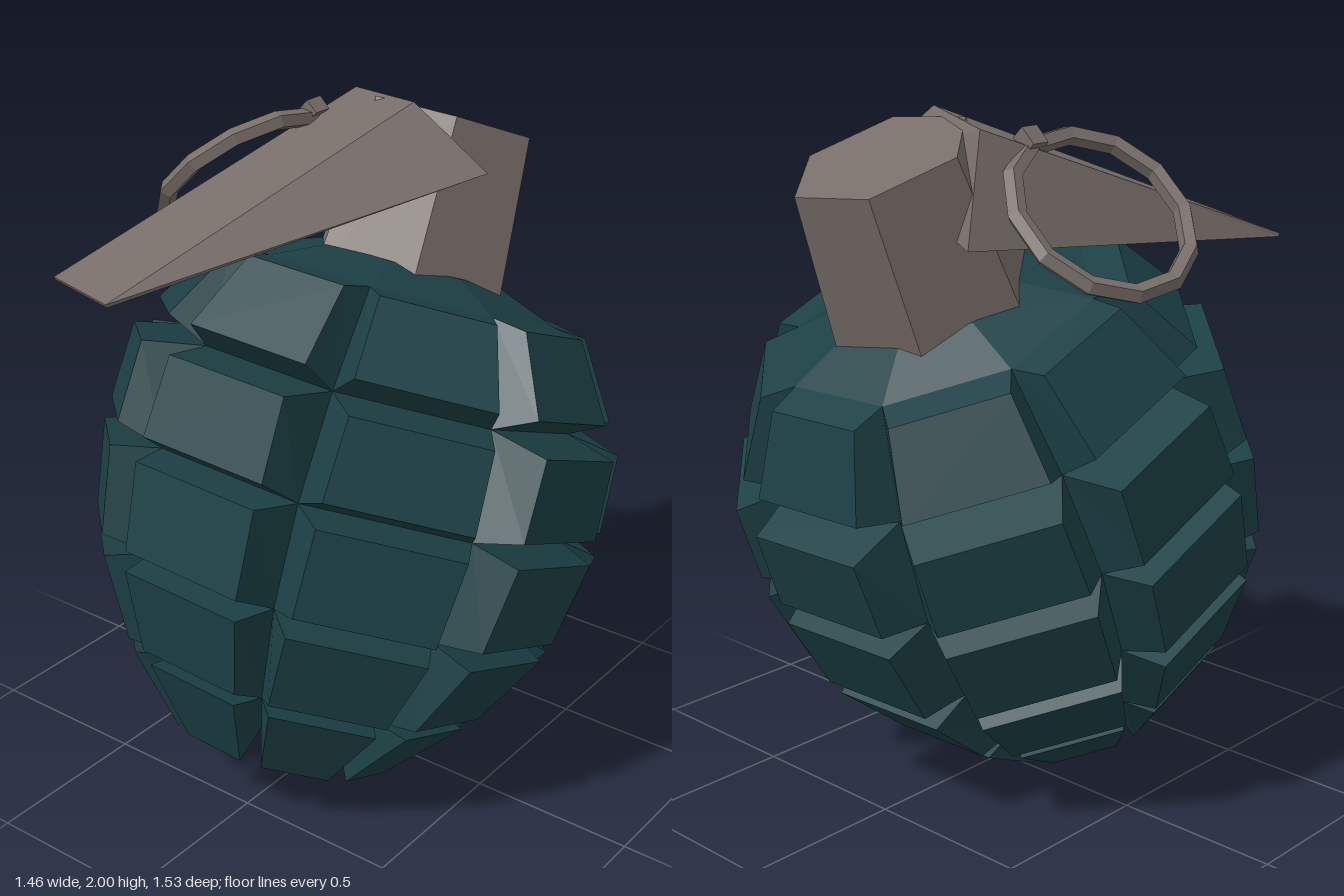
import * as THREE from 'three';

const teal = new THREE.MeshStandardMaterial({ color: 0x1c4045, flatShading: true, side: THREE.DoubleSide });
const metal = new THREE.MeshStandardMaterial({ color: 0x776e69, flatShading: true, side: THREE.DoubleSide });

function add(parent, name, geometry, material) {
  const mesh = new THREE.Mesh(geometry, material);
  mesh.name = name;
  parent.add(mesh);
  return mesh;
}

// Solid between two four-cornered loops, each counter-clockwise seen from the side of loop b
function loft(a, b) {
  const pos = [];
  const quad = (p, q, r, s) => pos.push(...p, ...q, ...r, ...p, ...r, ...s);
  for (let i = 0; i < 4; i++) {
    const j = (i + 1) % 4;
    quad(a[i], a[j], b[j], b[i]);
  }
  quad(...b);
  quad(a[3], a[2], a[1], a[0]);
  const g = new THREE.BufferGeometry();
  g.setAttribute('position', new THREE.Float32BufferAttribute(pos, 3));
  g.computeVertexNormals();
  return g;
}

export function createModel() {
  const model = new THREE.Group();

  // Everything on the leaning axis
  const tilted = new THREE.Group();
  tilted.name = 'tiltedBody';
  tilted.position.set(0, 0.85, 0.01);
  tilted.rotation.set(-0.393, 0, -0.034);
  model.add(tilted);

  // Eight-sided core: [radius, height] at the grooves
  const grooves = [[0.29, -0.67], [0.43, -0.56], [0.59, -0.265], [0.64, 0.04], [0.585, 0.345], [0.46, 0.63]];
  const profile = [[0, -0.67], ...grooves, [0.27, 0.7], [0, 0.71]].map(p => new THREE.Vector2(...p));
  add(tilted, 'core', new THREE.LatheGeometry(profile, 8, Math.PI / 8), teal);

  // Raised blocks per row: [low depth, low height, low half width, high depth, high height, high half width]
  const rows = [
    [0.325, -0.785, 0.1, 0.51, -0.575, 0.155],
    [0.54, -0.535, 0.17, 0.67, -0.305, 0.2],
    [0.69, -0.245, 0.2, 0.73, 0.01, 0.21],
    [0.725, 0.08, 0.21, 0.715, 0.315, 0.2],
    [0.66, 0.405, 0.2, 0.53, 0.62, 0.165],
  ];
  const c = Math.cos(Math.PI / 8), s = Math.sin(Math.PI / 8);
  rows.forEach(([d0, y0, w0, d1, y1, w1], i) => {
    const [r0, h0] = grooves[i], [r1, h1] = grooves[i + 1];
    const geometry = loft(
      [[-r0 * s, h0, r0 * c], [r0 * s, h0, r0 * c], [r1 * s, h1, r1 * c], [-r1 * s, h1, r1 * c]],
      [[-w0, y0, d0], [w0, y0, d0], [w1, y1, d1], [-w1, y1, d1]]);
    for (let k = 0; k < 8; k++) {
      add(tilted, 'block', geometry, teal).rotation.y = k * Math.PI / 4;
    }
  });

  // Six-sided cap
  const cap = new THREE.CylinderGeometry(0.26, 0.31, 0.52, 6, 1, false, Math.PI * 37 / 180);
  add(tilted, 'cap', cap, metal).position.set(0, 0.87, -0.01);

  // Lever reaching forward and to the side
  add(model, 'lever', loft(
    [[-0.27, 1.67, -0.42], [0.3, 1.82, -0.24], [0.09, 2.0, -0.18], [-0.2, 1.97, -0.3]],
    [[-0.5, 1.595, 0.65], [-0.21, 1.615, 0.75], [-0.21, 1.625, 0.755], [-0.5, 1.605, 0.655]]), metal);

  // Pull ring and the stub it hangs on
  const ring = add(model, 'pullRing', new THREE.TorusGeometry(0.263, 0.028, 5, 12), metal);
  ring.position.set(-0.42, 1.745, -0.06);
  ring.quaternion.setFromUnitVectors(new THREE.Vector3(0, 0, 1), new THREE.Vector3(-0.69, 0.71, -0.17).normalize());
  const stub = add(model, 'ringStub', new THREE.BoxGeometry(0.06, 0.045, 0.06), metal);
  stub.position.set(-0.235, 1.93, -0.14);
  stub.rotation.z = Math.PI / 4;

  return model;
}
